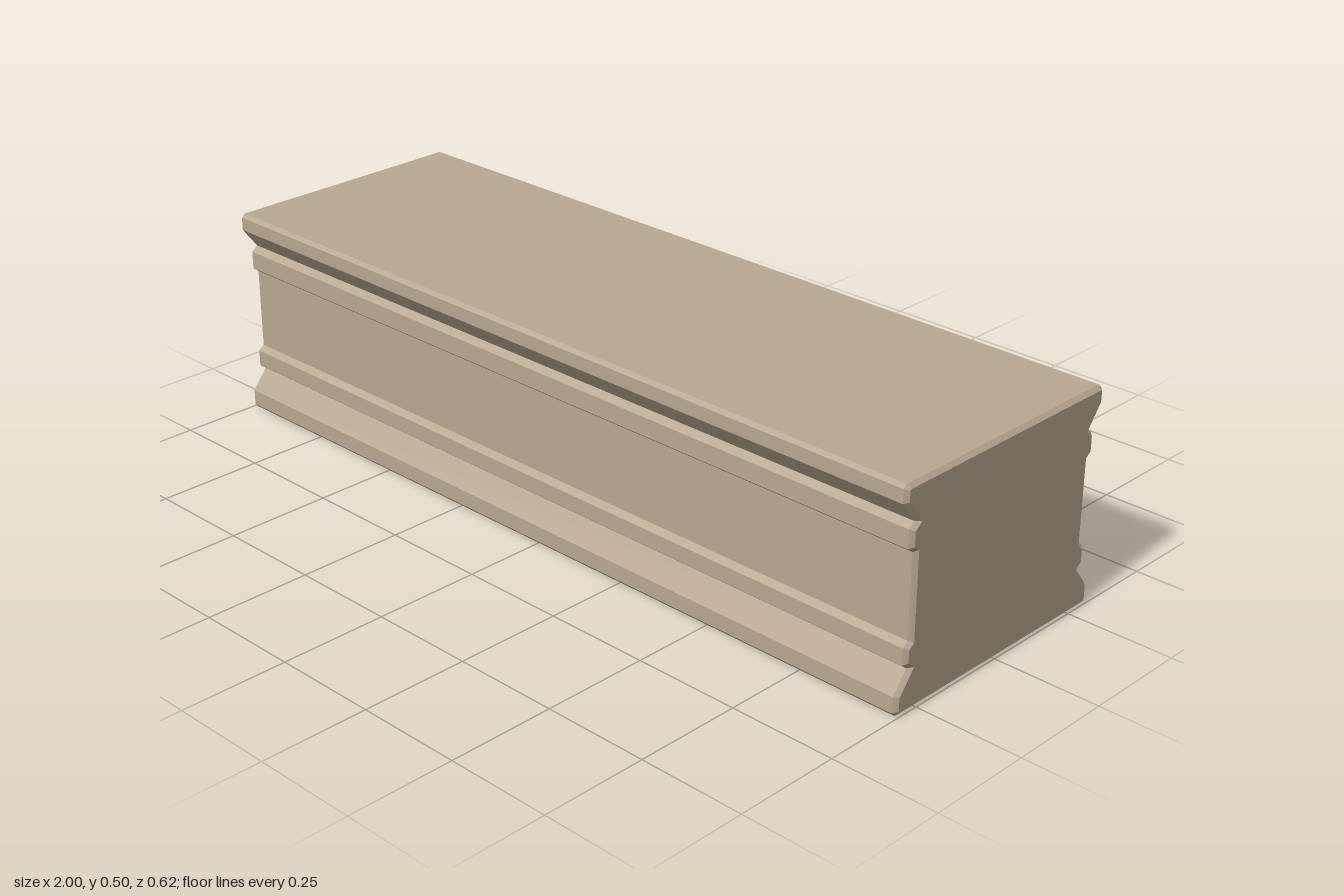
import * as THREE from 'three';

export function createModel() {
  const group = new THREE.Group();
  group.name = 'mouldedBlock';
  const stone = new THREE.MeshStandardMaterial({ color: 0xb9a78f });
  stone.name = 'sandstone';

  // Half profile as [half depth, height], from the base to the top
  const half = [
    [0.304, 0], [0.3125, 0.009], // base chamfer
    [0.3125, 0.046], [0.275, 0.094], // plinth slope into groove
    [0.29, 0.106], [0.29, 0.144], // lower fillet
    [0.276, 0.155], [0.276, 0.347], // recessed web
    [0.29, 0.358], [0.29, 0.4], // upper fillet
    [0.275, 0.412], [0.3125, 0.461], // groove and cornice slope
    [0.3125, 0.492], [0.304, 0.5], // top chamfer
  ];
  const mirrored = half.map(([d, y]) => [-d, y]).reverse();
  const profile = new THREE.Shape([...half, ...mirrored].map(([d, y]) => new THREE.Vector2(d, y)));

  // Run the profile along x, with chamfered ends inset from the outline
  const bevel = 0.009;
  const geometry = new THREE.ExtrudeGeometry(profile, {
    depth: 2 - 2 * bevel,
    bevelEnabled: true,
    bevelThickness: bevel,
    bevelSize: bevel,
    bevelOffset: -bevel,
    bevelSegments: 1,
  });
  geometry.translate(0, 0, -(1 - bevel));
  geometry.rotateY(Math.PI / 2);

  const block = new THREE.Mesh(geometry, stone);
  block.name = 'block';
  group.add(block);
  return group;
}
